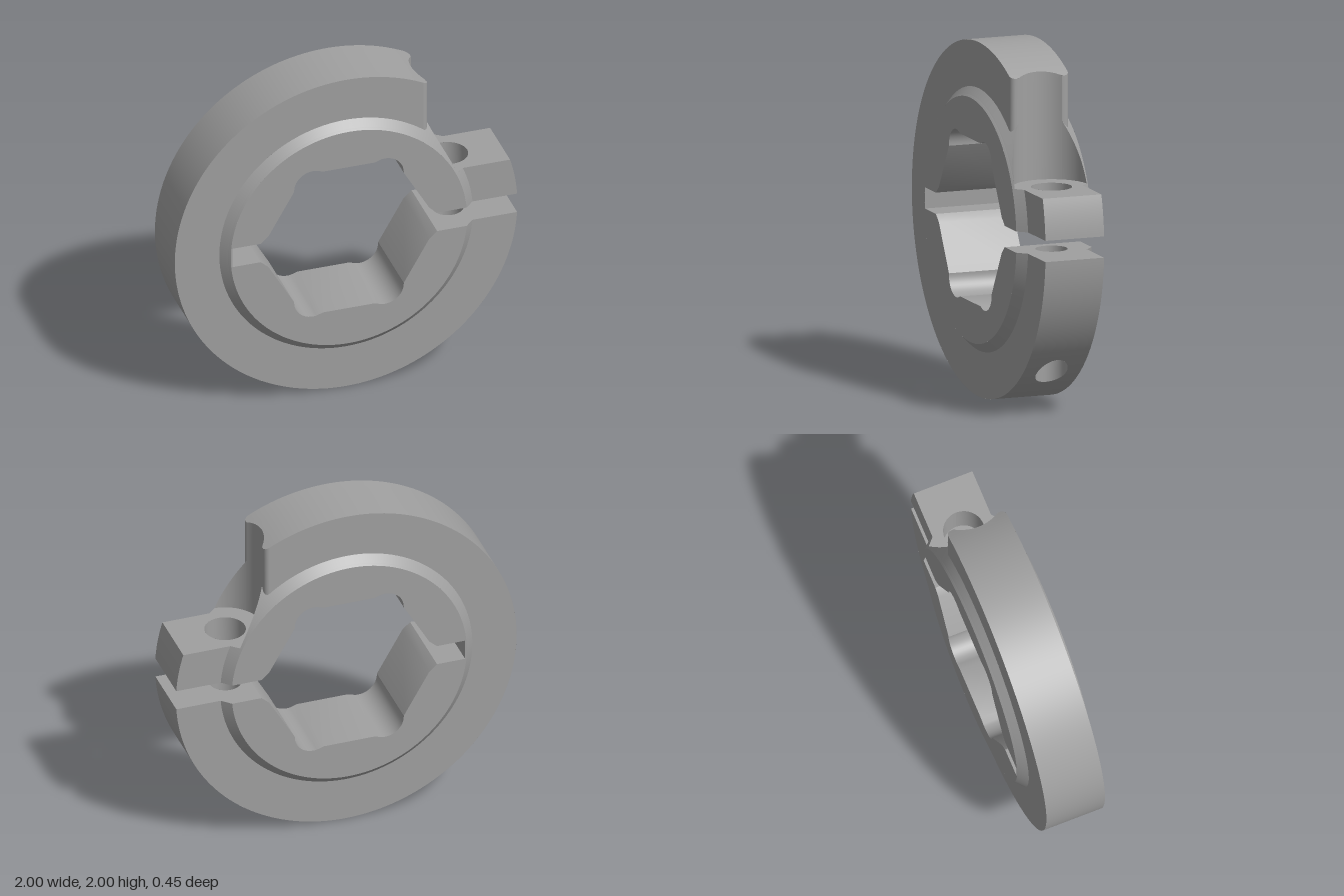
import * as THREE from 'three';
import { toCreasedNormals } from 'three/addons/utils/BufferGeometryUtils.js';

const { sqrt, sin, cos, asin, acos, abs, max, PI } = Math;
const TAU = PI * 2;
const mix = (a, b, t) => a + (b - a) * t;

// Main sizes, measured from the centre of the ring
const R = 1, HALF = 0.175;               // outer ring
const HUB = 0.74, HUB_Z = 0.225;         // chamfered hub
const SLOT = 0.06, FLOOR = 0.29;         // clamp slot half height, screw seat height
const CX = 0.65, CUT = 0.215;            // screw head pocket
const CLEAR = 0.115, THREAD = 0.09;      // screw holes
const LIP = 0.13;                        // where the pocket wall meets its rounded edge

const hubR = z => HUB - (abs(z) - HALF);
const rise = (r, x) => sqrt(max(0, r * r - x * x));
const pocketX = z => CX - sqrt(max(0, CUT * CUT - z * z));

// Left limit of the pocket in the ring, with rounded vertical edges
function edgeX(z) {
  z = abs(z);
  if (z <= LIP) return pocketX(z);
  if (z <= 0.145) return 0.48;
  return 0.45 + 0.03 * sqrt(max(0, 1 - ((z - 0.145) / 0.03) ** 2));
}

// Grid surface from a rule f(u, v) -> [x, y, z]
function patch(f, nu, nv) {
  const pos = [], index = [];
  for (let i = 0; i <= nu; i++)
    for (let j = 0; j <= nv; j++) pos.push(...f(i / nu, j / nv));
  for (let i = 0; i < nu; i++)
    for (let j = 0; j < nv; j++) {
      const a = i * (nv + 1) + j, b = a + nv + 1;
      index.push(a, b, a + 1, b, b + 1, a + 1);
    }
  const g = new THREE.BufferGeometry();
  g.setAttribute('position', new THREE.Float32BufferAttribute(pos, 3));
  g.setIndex(index);
  g.computeVertexNormals();
  return g;
}

// Polar surface: u picks radius and depth, v sweeps between two angles
const polar = (radius, depth, from, to, nu, nv) => patch((u, v) => {
  const z = depth(u), r = radius(u, z), t = mix(from(r, z), to(r, z), v);
  return [r * cos(t), r * sin(t), z];
}, nu, nv);

// Hexagonal bore with rounded corner reliefs, running into the left slot
function borePath() {
  const quarter = [[0.515, SLOT], [0.47, 0.1], [0.32, 0.36]];
  for (let i = 0; i <= 12; i++) {
    const a = i / 12 * 1.75;
    quarter.push([0.21 + 0.11 * cos(a), 0.365 + 0.11 * sin(a)]);
  }
  quarter.push([0.15, 0.46]);
  const top = [...quarter, ...quarter.map(([x, y]) => [-x, y]).reverse(), [-0.68, SLOT]];
  return [...top, ...top.map(([x, y]) => [x, -y]).reverse()];
}

export function createModel() {
  const group = new THREE.Group();
  const steel = new THREE.MeshStandardMaterial({ color: 0xa0a0a0, side: THREE.DoubleSide });
  steel.name = 'steel grey';
  const add = (name, geometry) => {
    const m = new THREE.Mesh(geometry, steel);
    m.name = name;
    m.position.y = 1;
    group.add(m);
  };

  const upperSlot = r => asin(SLOT / r);
  const lowerSlot = r => TAU - asin(SLOT / r);
  const seat = r => asin(FLOOR / r);
  const pocketStart = (r, z) => max(acos(pocketX(z) / r), seat(r));

  // Outer rim, split around the threaded hole's exit
  const rimZ = u => HALF * sin((u * 2 - 1) * PI / 2);
  const holeA = TAU - acos(CX - THREAD), holeB = TAU - acos(CX + THREAD);
  add('outerRim', polar(() => R, rimZ, (r, z) => acos(edgeX(z)), () => holeA, 28, 120));
  add('outerRimEnd', polar(() => R, rimZ, () => holeB, lowerSlot, 4, 24));
  add('upperJawRim', polar(() => R, rimZ, upperSlot, seat, 4, 10));

  for (const s of [1, -1]) {
    const side = s > 0 ? 'front' : 'back';

    // Rim strip beside the hole exit
    add(side + 'HoleRim', patch((u, v) => {
      const x = CX - THREAD * cos(u * PI);
      return [x, -rise(R, x), s * mix(THREAD * sin(u * PI), HALF, v)];
    }, 28, 2));

    // Flat ring faces
    const ringR = u => mix(HUB, R, u), ringZ = () => s * HALF;
    add(side + 'RingFace', polar(ringR, ringZ, r => acos(0.45 / r), lowerSlot, 6, 140));
    add(side + 'JawFace', polar(ringR, ringZ, upperSlot, seat, 6, 8));

    // Hub chamfer, and its run-out under the rounded pocket edge
    const hubZ = u => s * mix(HALF, HUB_Z, u), coneR = (u, z) => hubR(z);
    add(side + 'HubChamfer', polar(coneR, hubZ, pocketStart, lowerSlot, 20, 140));
    add(side + 'JawChamfer', polar(coneR, hubZ, upperSlot, seat, 4, 10));
    add(side + 'PocketRunout', polar(coneR, u => s * mix(LIP, HALF, sin(u * PI / 2)),
      (r, z) => acos(pocketX(z) / r), (r, z) => acos(edgeX(z) / r), 14, 4));

    // Rounded vertical edge of the pocket
    add(side + 'PocketEdge', patch((u, v) => {
      const z = mix(LIP, HALF, sin(u * PI / 2)), x = edgeX(z);
      return [x, mix(rise(hubR(z), x), rise(R, x), v), s * z];
    }, 14, 2));

    // Pocket wall below the chamfer
    add(side + 'PocketWall', patch((u, v) => {
      const t = mix(asin(LIP / CUT), asin(0.2146 / CUT), u);
      const z = CUT * sin(t), x = CX - CUT * cos(t);
      return [x, mix(FLOOR, max(FLOOR, rise(hubR(z), x)), v), s * z];
    }, 18, 4));

    // Flat hub face around the bore
    const outline = [], r = HUB - 0.05;
    for (let i = 0; i <= 120; i++) {
      const t = mix(lowerSlot(r), upperSlot(r), i / 120);
      outline.push(new THREE.Vector2(r * cos(t), r * sin(t)));
    }
    outline.push(...borePath().map(p => new THREE.Vector2(...p)));
    add(side + 'HubFace', new THREE.ShapeGeometry(new THREE.Shape(outline)).translate(0, 0, s * HUB_Z));
  }

  // Full-height middle of the pocket wall
  add('pocketWall', patch((u, v) => {
    const t = mix(-1, 1, u) * asin(LIP / CUT), x = CX - CUT * cos(t);
    return [x, mix(FLOOR, rise(R, x), v), CUT * sin(t)];
  }, 24, 4));

  // Bore and left slot walls
  const path = borePath();
  const bore = patch((u, v) => [...path[Math.round(u * (path.length - 1))], mix(-HUB_Z, HUB_Z, v)],
    path.length - 1, 1);
  add('hexBore', toCreasedNormals(bore, 0.35));

  // Horizontal plates with a screw hole: half outline is mirrored in z
  const plate = (half, radius, y, up) => {
    const pts = [...half, ...half.map(([x, z]) => [x, -z]).reverse()];
    const shape = new THREE.Shape(pts.map(p => new THREE.Vector2(...p)));
    shape.holes.push(new THREE.Path().absarc(CX, 0, radius, 0, TAU, true));
    return new THREE.ShapeGeometry(shape, 32).rotateX(up ? -PI / 2 : PI / 2).translate(0, y, 0);
  };
  const jaw = [[0.515, HUB_Z], [rise(HUB - 0.05, SLOT), HUB_Z], [rise(HUB, SLOT), HALF], [rise(R, SLOT), HALF]];
  add('upperSlotFace', plate(jaw, CLEAR, SLOT, false));
  add('lowerSlotFace', plate(jaw, THREAD, -SLOT, true));
  const seatHalf = [];
  for (let i = 0; i <= 20; i++) {
    const t = mix(0.02, asin(0.2146 / CUT), i / 20);
    seatHalf.push([CX - CUT * cos(t), CUT * sin(t)]);
  }
  seatHalf.push([rise(HUB, FLOOR), HALF], [rise(R, FLOOR), HALF]);
  add('screwSeat', plate(seatHalf, CLEAR, FLOOR, true));

  // Screw hole walls
  const hole = (radius, y0, y1) => patch((u, v) => {
    const x = CX + radius * cos(u * TAU);
    return [x, mix(y0, y1(x), v), radius * sin(u * TAU)];
  }, 40, 1);
  add('clearanceHole', hole(CLEAR, SLOT, () => FLOOR));
  add('threadedHole', hole(THREAD, -SLOT, x => -rise(R, x)));

  return group;
}
